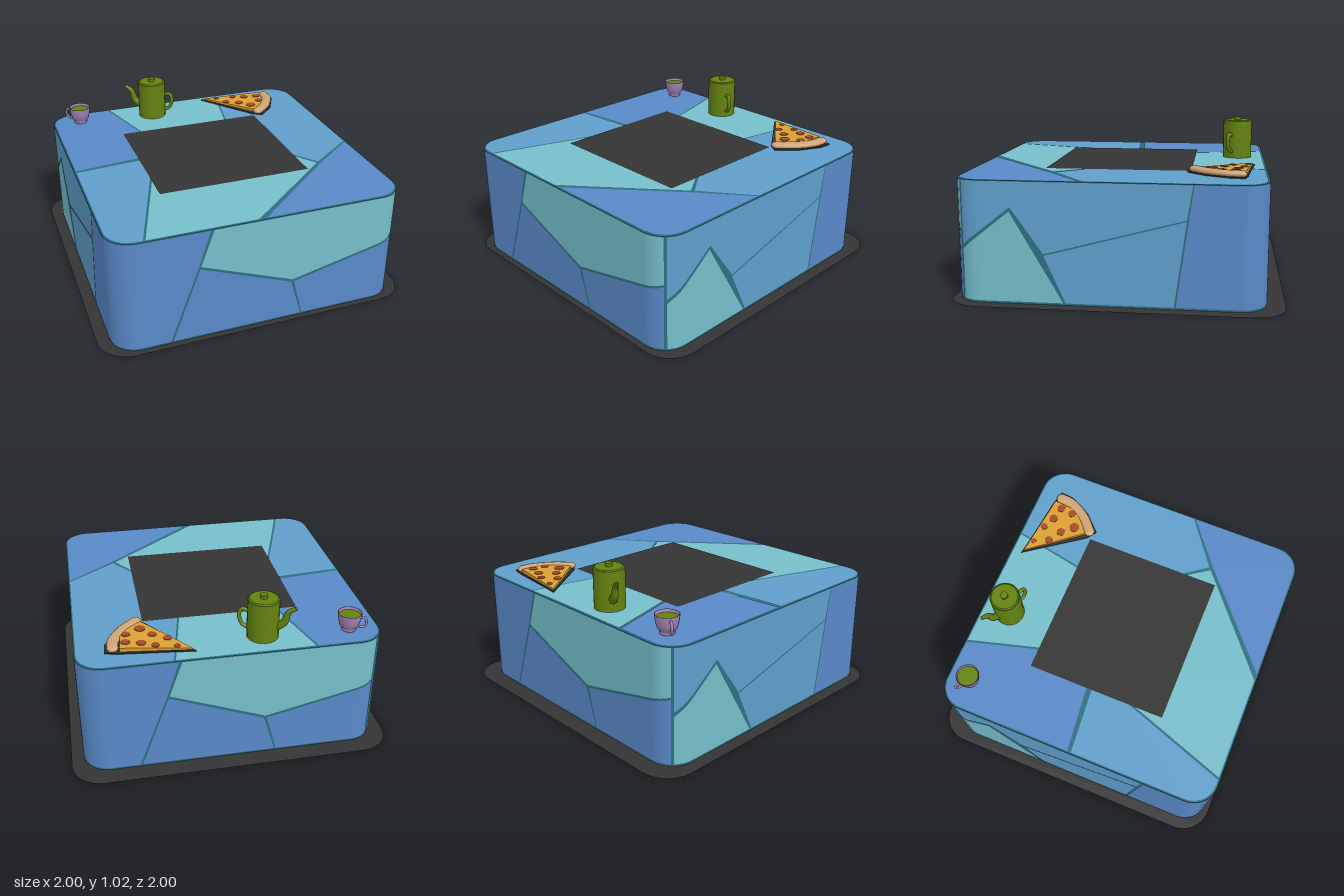
import * as THREE from 'three';

const mat = (name, color, side = THREE.FrontSide) => {
  const m = new THREE.MeshStandardMaterial({ color, side });
  m.name = name;
  return m;
};
const DARK = mat('charcoal', 0x353535, THREE.DoubleSide);
const SEAM = mat('seam teal', 0x2f6f82);
const BLUE = mat('blue', 0x5989c8);
const MID = mat('sky blue', 0x609fcc);
const TEAL = mat('pale teal', 0x75beca);
const GREEN = mat('olive green', 0x64840f, THREE.DoubleSide);
const LILAC = mat('lilac', 0xa184b6, THREE.DoubleSide);
const CHEESE = mat('cheese', 0xdba032);
const CRUST = mat('crust', 0xcfa578);
const SALAMI = mat('salami red', 0xa84c2a);

// Block plan: half width, half depth, corner radius, z of its centre, height
const W = 0.922, D = 0.925, R = 0.16, Z0 = 0.0375, TOP = 0.742;
const A = W - R, B = D - R, ARC = R * Math.PI / 2, HALF = 2 * (A + B + ARC);

function add(parent, name, geo, material, x = 0, y = 0, z = 0) {
  const m = new THREE.Mesh(geo, material);
  m.name = name;
  m.position.set(x, y, z);
  parent.add(m);
  return m;
}

function roundedRect(w, d, r) {
  const s = new THREE.Shape();
  s.absarc(w - r, d - r, r, 0, Math.PI / 2);
  s.absarc(r - w, d - r, r, Math.PI / 2, Math.PI);
  s.absarc(r - w, r - d, r, Math.PI, Math.PI * 1.5);
  s.absarc(w - r, r - d, r, Math.PI * 1.5, Math.PI * 2);
  s.closePath();
  return s;
}

// Flat shape given as [x, z] points
const planShape = pts => new THREE.Shape(pts.map(([x, z]) => new THREE.Vector2(x, -z)));
const flat = (shape, seg = 8) => new THREE.ShapeGeometry(shape, seg).rotateX(-Math.PI / 2);
const slab = (shape, h) =>
  new THREE.ExtrudeGeometry(shape, { depth: h, bevelEnabled: false, curveSegments: 8 }).rotateX(-Math.PI / 2);

// Distance u along the wall (0 = middle of front, growing to the right) -> [x, z, nx, nz]
function wrap(u) {
  if (u < -A) return wrap(u + HALF).map(v => -v);
  if (u <= A) return [u, D, 0, 1];
  let a = u - A;
  if (a < ARC) {
    const t = a / R;
    return [A + R * Math.sin(t), B + R * Math.cos(t), Math.sin(t), Math.cos(t)];
  }
  a -= ARC;
  if (a <= 2 * B) return [W, B - a, 1, 0];
  const t = (a - 2 * B) / R;
  return [A + R * Math.cos(t), -B - R * Math.sin(t), Math.cos(t), -Math.sin(t)];
}

function heightAt(pts, u) {
  if (u <= pts[0][0]) return pts[0][1];
  for (let i = 1; i < pts.length; i++) {
    const [u0, v0] = pts[i - 1], [u1, v1] = pts[i];
    if (u <= u1) return v0 + (v1 - v0) * (u - u0) / (u1 - u0);
  }
  return pts[pts.length - 1][1];
}

// Wall panel between a lower and an upper outline, bent around the corners
function wallPanel(lower, upper) {
  const lo = lower[0][0], hi = lower[lower.length - 1][0];
  const us = new Set([...lower, ...upper].map(p => p[0]));
  for (const c of [-A - ARC, A])
    for (let i = 0; i <= 8; i++) {
      const u = c + ARC * i / 8;
      if (u > lo && u < hi) us.add(u);
    }
  const pos = [], nor = [], idx = [];
  [...us].sort((a, b) => a - b).forEach((u, i) => {
    const [x, z, nx, nz] = wrap(u);
    for (const edge of [lower, upper]) {
      pos.push(x + nx * 0.003, heightAt(edge, u), z + nz * 0.003);
      nor.push(nx, 0, nz);
    }
    if (i) { const k = 2 * i; idx.push(k - 2, k, k + 1, k - 2, k + 1, k - 1); }
  });
  const g = new THREE.BufferGeometry();
  g.setAttribute('position', new THREE.Float32BufferAttribute(pos, 3));
  g.setAttribute('normal', new THREE.Float32BufferAttribute(nor, 3));
  g.setIndex(idx);
  return g;
}

// Tube through points, its radius running from r0 to r1
function taperTube(pts, r0, r1, seg = 14, sides = 8) {
  const curve = new THREE.CatmullRomCurve3(pts.map(p => new THREE.Vector3(...p)));
  const g = new THREE.TubeGeometry(curve, seg, 1, sides);
  const p = g.attributes.position, v = new THREE.Vector3();
  for (let i = 0; i < p.count; i++) {
    const t = Math.floor(i / (sides + 1)) / seg, c = curve.getPointAt(t);
    v.fromBufferAttribute(p, i).sub(c).multiplyScalar(r0 + (r1 - r0) * t).add(c);
    p.setXYZ(i, v.x, v.y, v.z);
  }
  return g;
}

function addBlock(root) {
  add(root, 'groundPlate', flat(roundedRect(1, 1, 0.19), 4), DARK, 0, 0, 0);
  add(root, 'blockBody', slab(roundedRect(W, D, R), TOP - 0.002), SEAM, 0, 0.002, Z0);

  // Wall panels for front and right; turned half round they make back and left
  const T = 0.737, F = 0.015;
  const walls = [
    [BLUE, [[-1.38, F], [-0.585, F], [-0.41, 0.5], [-0.335, T]], [[-1.38, F], [-1.282, T], [-0.335, T]]],
    [TEAL, [[-0.395, 0.505], [0.19, 0.28], [0.883, 0.44]], [[-0.395, 0.505], [-0.315, T], [0.883, T]]],
    [BLUE, [[-0.57, F], [0.255, F]], [[-0.57, F], [-0.4, 0.49], [0.18, 0.265], [0.255, F]]],
    [BLUE, [[0.2, 0.265], [0.265, F], [0.883, F]], [[0.2, 0.265], [0.883, 0.425]]],
    [TEAL, [[0.9, F], [1.515, F]], [[0.9, 0.32], [1.2, 0.56], [1.515, F]]],
    [MID, [[0.9, 0.345], [1.205, 0.585], [1.4, 0.31], [2.235, 0.534], [2.268, T]], [[0.9, T], [2.268, T]]],
    [MID, [[1.4, 0.3], [1.53, F], [2.165, F], [2.235, 0.526]], [[1.4, 0.3], [2.235, 0.526]]],
  ];
  for (const turn of [0, Math.PI]) {
    const g = new THREE.Group();
    g.name = turn ? 'backAndLeftPanels' : 'frontAndRightPanels';
    g.position.z = Z0;
    g.rotation.y = turn;
    for (const [m, lower, upper] of walls) add(g, 'wallPanel', wallPanel(lower, upper), m);
    root.add(g);
  }

  // Top panels, meeting beneath the dark square
  const X = 0.912, ZB = -0.876, ZF = 0.951, r = 0.15;
  const corner = (sx, front, reverse) => {
    const pts = [];
    for (let i = 0; i <= 8; i++) {
      const t = i / 8 * Math.PI / 2;
      pts.push([sx * (X - r + r * Math.cos(t)), front ? ZF - r + r * Math.sin(t) : ZB + r - r * Math.sin(t)]);
    }
    return reverse ? pts.reverse() : pts;
  };
  const tops = [
    [BLUE, [...corner(-1, false), [-0.5, ZB], [-0.365, -0.4], [-0.3, -0.05], [-X, 0.02]]],
    [MID, [[-X, 0.045], [-0.41, 0], [-0.5, 0.29], [-0.725, ZF], ...corner(-1, true, true)]],
    [TEAL, [[-0.485, ZB], [0.35, ZB], [0.262, -0.42], [0.2, -0.1], [-0.29, -0.1], [-0.352, -0.4]]],
    [MID, [[0.362, ZB], ...corner(1, false, true), [X, 0.185], [0.605, 0.41], [0.3, 0], [0.21, -0.1], [0.274, -0.42]]],
    [TEAL, [[-0.71, ZF], [-0.485, 0.29], [-0.39, 0], [0.29, 0], [0.588, 0.425], [-0.02, ZF - 0.015], [-0.04, ZF]]],
    [BLUE, [[0.01, ZF], [0.605, 0.44], [X, 0.2], ...corner(1, true)]],
  ];
  for (const [m, pts] of tops) add(root, 'topPanel', flat(planShape(pts)), m, 0, TOP + 0.003, 0);
  add(root, 'topSquare', new THREE.PlaneGeometry(0.985, 0.91).rotateX(-Math.PI / 2), DARK, 0, TOP + 0.007, 0.035);
}

const lathe = (pts, seg) => new THREE.LatheGeometry(pts.map(p => new THREE.Vector2(...p)), seg);

function addTeapot(root) {
  const g = new THREE.Group();
  g.name = 'teapot';
  g.position.set(-0.2, TOP + 0.003, -0.705);
  g.rotation.y = -0.45;
  add(g, 'potBody', new THREE.CylinderGeometry(0.097, 0.097, 0.252, 18), GREEN, 0, 0.126, 0);
  add(g, 'lid', new THREE.CylinderGeometry(0.085, 0.092, 0.006, 18), GREEN, 0, 0.255, 0);
  add(g, 'lidKnob', new THREE.CylinderGeometry(0.024, 0.022, 0.024, 12), GREEN, 0, 0.268, 0);
  add(g, 'spout', taperTube([[-0.08, 0.075, 0], [-0.125, 0.11, 0], [-0.15, 0.18, 0], [-0.195, 0.213, 0]], 0.03, 0.012), GREEN);
  add(g, 'potHandle', taperTube([[0.085, 0.155, 0], [0.13, 0.165, 0], [0.147, 0.13, 0], [0.13, 0.065, 0], [0.085, 0.04, 0]], 0.013, 0.013), GREEN);
  root.add(g);
}

function addCup(root) {
  const g = new THREE.Group();
  g.name = 'cup';
  g.position.set(-0.73, TOP + 0.003, -0.735);
  g.rotation.y = -0.5;
  add(g, 'cupBowl', lathe([[0, 0.004], [0.044, 0], [0.046, 0.01], [0.04, 0.018], [0.058, 0.035], [0.067, 0.07],
    [0.074, 0.117], [0.068, 0.117], [0.064, 0.085]], 20), LILAC);
  add(g, 'tea', new THREE.CircleGeometry(0.066, 20).rotateX(-Math.PI / 2), GREEN, 0, 0.1, 0);
  add(g, 'cupHandle', taperTube([[-0.062, 0.092, 0], [-0.09, 0.098, 0], [-0.103, 0.07, 0], [-0.088, 0.035, 0], [-0.056, 0.03, 0]], 0.008, 0.008), LILAC);
  root.add(g);
}

function addPizza(root) {
  const g = new THREE.Group();
  g.name = 'pizzaSlice';
  add(g, 'sliceRim', slab(planShape([[0.22, -0.815], [0.33, -0.8], [0.66, -0.765], [0.75, -0.745], [0.742, -0.66],
    [0.665, -0.51], [0.555, -0.4], [0.49, -0.445], [0.37, -0.61]]), 0.007), DARK, 0, TOP + 0.008, 0);

  // Cheese rises gently toward the crust
  const topY = x => 0.768 + 0.035 * (x - 0.24);
  const cheese = slab(planShape([[0.24, -0.802], [0.66, -0.75], [0.645, -0.6], [0.52, -0.45], [0.37, -0.635]]), 1);
  const p = cheese.attributes.position;
  for (let i = 0; i < p.count; i++) p.setY(i, p.getY(i) > 0.5 ? topY(p.getX(i)) : 0.756);
  cheese.computeVertexNormals();
  add(g, 'cheese', cheese, CHEESE);

  const ends = [[0.698, 0, -0.722], [0.535, 0, -0.445]];
  const crust = add(g, 'crust', taperTube([ends[0], [0.69, 0, -0.65], [0.62, 0, -0.525], ends[1]], 0.036, 0.036, 14, 10), CRUST, 0, 0.77, 0);
  crust.scale.y = 0.6;
  for (const e of ends) add(crust, 'crustEnd', new THREE.SphereGeometry(0.036, 10, 8), CRUST, ...e);

  // Salami slices
  const spots = [[0.325, -0.768, 0.019], [0.45, -0.745, 0.024], [0.53, -0.71, 0.029], [0.62, -0.69, 0.028],
    [0.37, -0.675, 0.026], [0.455, -0.622, 0.028], [0.52, -0.55, 0.034], [0.61, -0.605, 0.027]];
  for (const [x, z, rad] of spots)
    add(g, 'salami', new THREE.CylinderGeometry(rad, rad, 0.006, 9), SALAMI, x, topY(x) + 0.001, z).rotation.z = 0.035;
  root.add(g);
}

export function createModel() {
  const root = new THREE.Group();
  root.name = 'tiledBlockWithSnacks';
  addBlock(root);
  addTeapot(root);
  addCup(root);
  addPizza(root);
  return root;
}
